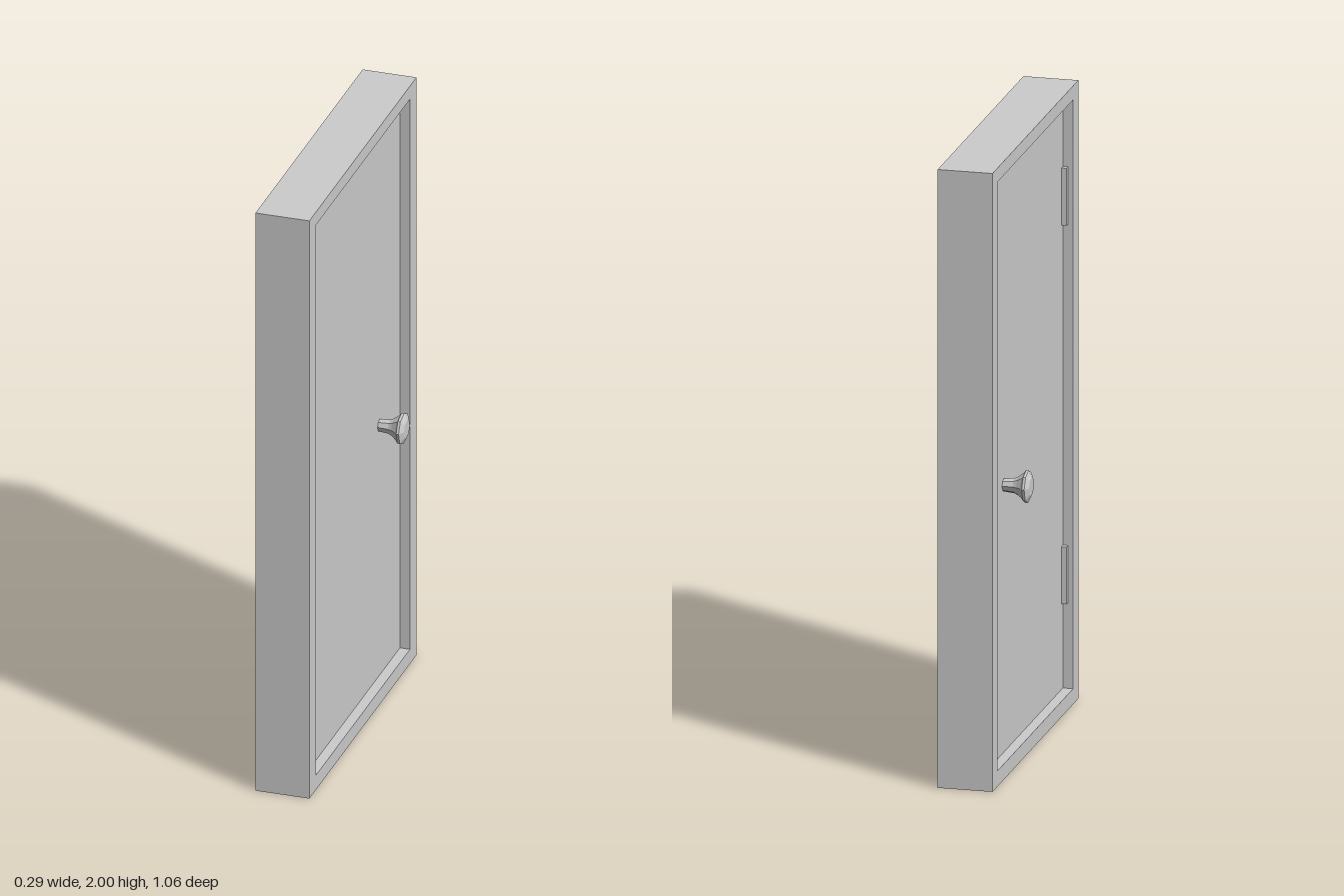
import * as THREE from 'three';

const FRAME = { x: 0.088, z: 0.528, h: 2 };                // half depth, half width, height
const PANEL = { x: 0.055, z: 0.464, y0: 0.05, y1: 1.955 }; // recessed door leaf

export function createModel() {
  const group = new THREE.Group();
  const grey = new THREE.MeshStandardMaterial({ color: 0xcccccc, flatShading: true });
  grey.name = 'light grey';

  const add = (name, geometry, x = 0, y = 0, z = 0) => {
    const mesh = new THREE.Mesh(geometry, grey);
    mesh.name = name;
    mesh.position.set(x, y, z);
    group.add(mesh);
    return mesh;
  };

  const rectangle = (path, w, y0, y1) =>
    path.moveTo(-w, y0).lineTo(w, y0).lineTo(w, y1).lineTo(-w, y1).closePath();

  // Door frame: a rectangle with the doorway cut out, extruded along x
  const outline = rectangle(new THREE.Shape(), FRAME.z, 0, FRAME.h);
  outline.holes.push(rectangle(new THREE.Path(), PANEL.z, PANEL.y0, PANEL.y1));
  const frame = new THREE.ExtrudeGeometry(outline, { depth: FRAME.x * 2, bevelEnabled: false });
  frame.translate(0, 0, -FRAME.x).rotateY(Math.PI / 2);
  add('doorFrame', frame);

  // Door leaf, recessed on both sides
  add('doorPanel',
    new THREE.BoxGeometry(PANEL.x * 2, PANEL.y1 - PANEL.y0, PANEL.z * 2),
    0, (PANEL.y0 + PANEL.y1) / 2, 0);

  // Octagonal knobs with a flared neck, one on each side
  const profile = [
    [0.02, 0.05], [0.024, 0.09], [0.03, 0.102], [0.043, 0.119],
    [0.052, 0.126], [0.052, 0.134], [0.03, 0.144], [0, 0.144],
  ].map(([r, d]) => new THREE.Vector2(r, d));
  const knob = new THREE.LatheGeometry(profile, 8);
  knob.rotateZ(-Math.PI / 2).rotateX(-0.08);
  add('leftKnob', knob, 0, 0.915, -0.264);
  add('rightKnob', knob, 0, 0.915, -0.264).rotation.y = Math.PI;

  // Hinges in the corner between leaf and frame
  for (const [name, y] of [['lowerHinge', 0.42], ['upperHinge', 1.645]]) {
    add(name, new THREE.BoxGeometry(0.02, 0.185, 0.022), -0.062, y, 0.455);
  }
  return group;
}
